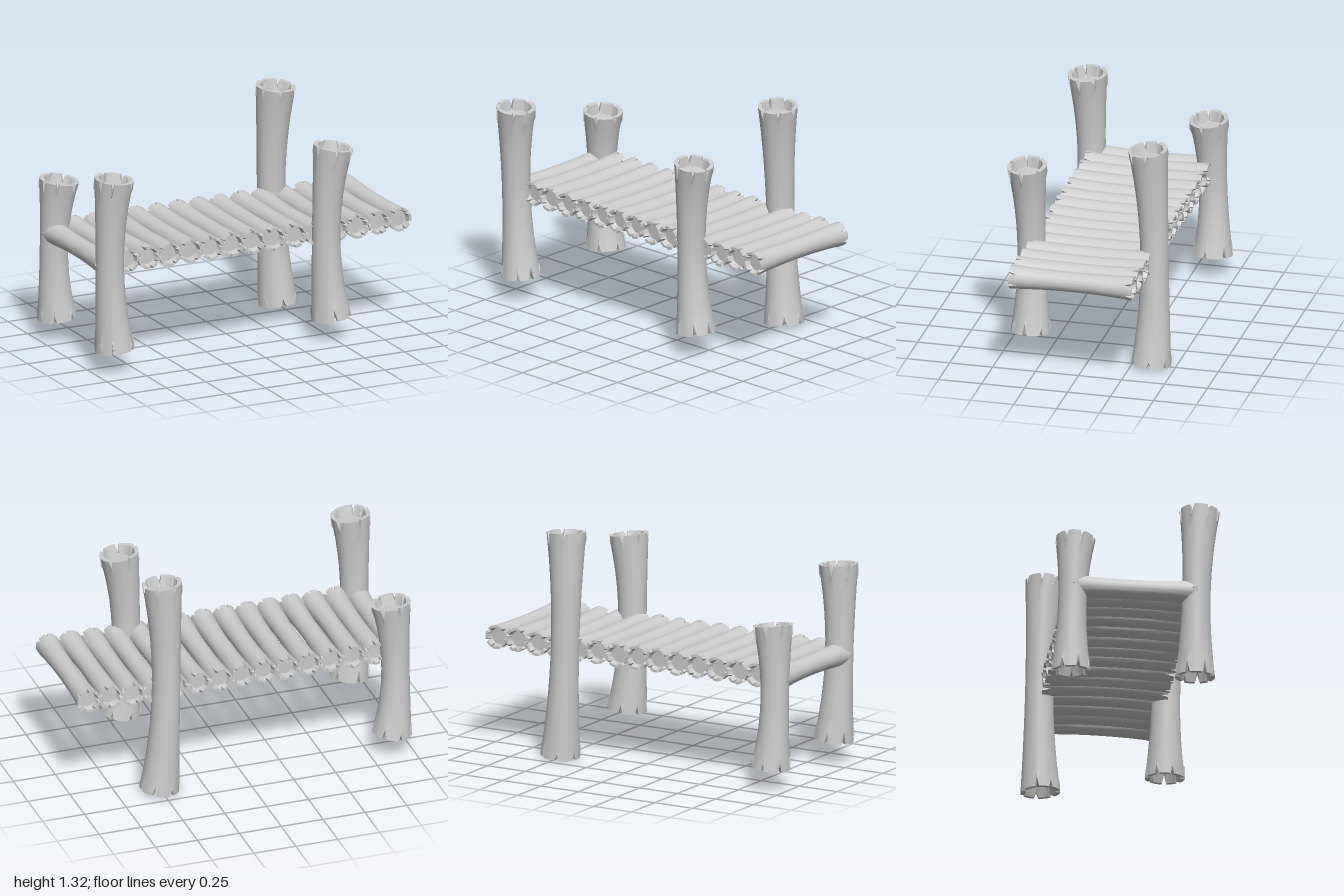
import * as THREE from 'three';
import { toCreasedNormals } from 'three/addons/utils/BufferGeometryUtils.js';

let seed = 7;
const rand = () => (seed = (seed * 16807) % 2147483647) / 2147483647;
const vec = (p) => new THREE.Vector3(...p);

// Angles round the log; each notch adds its two edges and its bottom
function notchedRim(count) {
  const rim = [];
  const step = (Math.PI * 2) / count;
  const turn = rand() * step;
  for (let i = 0; i < count; i++) {
    const centre = turn + (i + (rand() - 0.5) * 0.35) * step;
    const half = 0.09 + rand() * 0.06;
    const cut = 0.55 + rand() * 0.45;
    rim.push([centre - half, 0], [centre, cut], [centre + half, 0]);
  }
  // Fill the stretches between notches so that the log stays round
  const filled = [];
  rim.forEach(([angle, cut], i) => {
    filled.push([angle, cut]);
    if (i % 3 < 2) return;
    const next = i + 1 < rim.length ? rim[i + 1][0] : rim[0][0] + Math.PI * 2;
    for (let k = 1; k < 5; k++) filled.push([angle + ((next - angle) * k) / 5, 0]);
  });
  return filled;
}

// Waisted log along a bowed path, with notched rims and recessed end faces
function logGeometry(start, middle, end, endRadius, waistRadius) {
  const a = vec(start), b = vec(end);
  const control = vec(middle).multiplyScalar(2).addScaledVector(a, -0.5).addScaledVector(b, -0.5);
  const path = new THREE.QuadraticBezierCurve3(a, control, b);
  const unit = endRadius / a.distanceTo(b);
  const radiusAt = (t) => waistRadius + (endRadius - waistRadius) * Math.pow(Math.abs(2 * t - 1), 2);

  // Profile rows: position on path, radius, notch depth
  const cap = [
    [0.5 * unit, 0, 0],
    [0.5 * unit, endRadius * 0.66, 0],
    [0, endRadius * 0.78, 0.45 * unit],
    [0, endRadius, 0.62 * unit],
  ];
  const profile = [...cap];
  const first = 0.7 * unit;
  for (let i = 0; i <= 12; i++) {
    const t = first + ((1 - 2 * first) * i) / 12;
    profile.push([t, radiusAt(t), 0]);
  }
  for (const [t, r, n] of [...cap].reverse()) profile.push([1 - t, r, -n]);

  const rim = notchedRim(7);
  const n = rim.length;
  const positions = [];
  for (const [t, r, notch] of profile) {
    for (const [angle, cut] of rim) {
      const s = t + notch * cut;
      const tangent = path.getTangent(s);
      const u = new THREE.Vector3(1, 0, 0).addScaledVector(tangent, -tangent.x).normalize();
      const v = tangent.clone().cross(u);
      const p = path.getPoint(s)
        .addScaledVector(u, Math.cos(angle) * r)
        .addScaledVector(v, Math.sin(angle) * r);
      positions.push(p.x, p.y, p.z);
    }
  }
  const index = [];
  for (let i = 0; i < profile.length - 1; i++) {
    for (let j = 0; j < n; j++) {
      const p = i * n + j, q = i * n + ((j + 1) % n);
      if (i > 0) index.push(p, q, q + n);
      if (i < profile.length - 2) index.push(p, q + n, p + n);
      else if (i === 0) index.push(p, q + n, p + n);
    }
  }
  const geometry = new THREE.BufferGeometry();
  geometry.setAttribute('position', new THREE.Float32BufferAttribute(positions, 3));
  geometry.setIndex(index);
  return toCreasedNormals(geometry, 0.6);
}

export function createModel() {
  seed = 7;
  const model = new THREE.Group();
  model.name = 'logDock';
  const wood = new THREE.MeshStandardMaterial({ color: 0xcccccc });
  const addLog = (parent, name, ...shape) => {
    const mesh = new THREE.Mesh(logGeometry(...shape), wood);
    mesh.name = name;
    parent.add(mesh);
  };

  // Deck of logs laid side by side
  const deck = new THREE.Group();
  deck.name = 'deck';
  model.add(deck);
  const count = 15;
  for (let i = 0; i < count; i++) {
    const x = -0.918 + (1.844 * i) / (count - 1);
    const y = 0.646 + (rand() - 0.5) * 0.008;
    const bow = (rand() - 0.5) * 0.012;
    addLog(deck, 'deckLog', [x, y, -0.367], [x + bow, y + 0.002, -0.01], [x, y, 0.347], 0.069, 0.056);
  }

  // Four posts: bottom, middle and top of each
  const posts = {
    frontRightPost: [[-0.872, 0.14, 0.342], [-0.905, 0.65, 0.346], [-0.888, 1.155, 0.366]],
    frontLeftPost: [[0.49, 0.14, 0.345], [0.457, 0.65, 0.348], [0.493, 1.152, 0.366]],
    backRightPost: [[-0.882, 0.13, -0.365], [-0.905, 0.54, -0.36], [-0.882, 0.95, -0.34]],
    backLeftPost: [[0.505, 0.02, -0.36], [0.468, 0.67, -0.37], [0.48, 1.314, -0.335]],
  };
  for (const [name, points] of Object.entries(posts)) addLog(model, name, ...points, 0.113, 0.08);

  return model;
}
